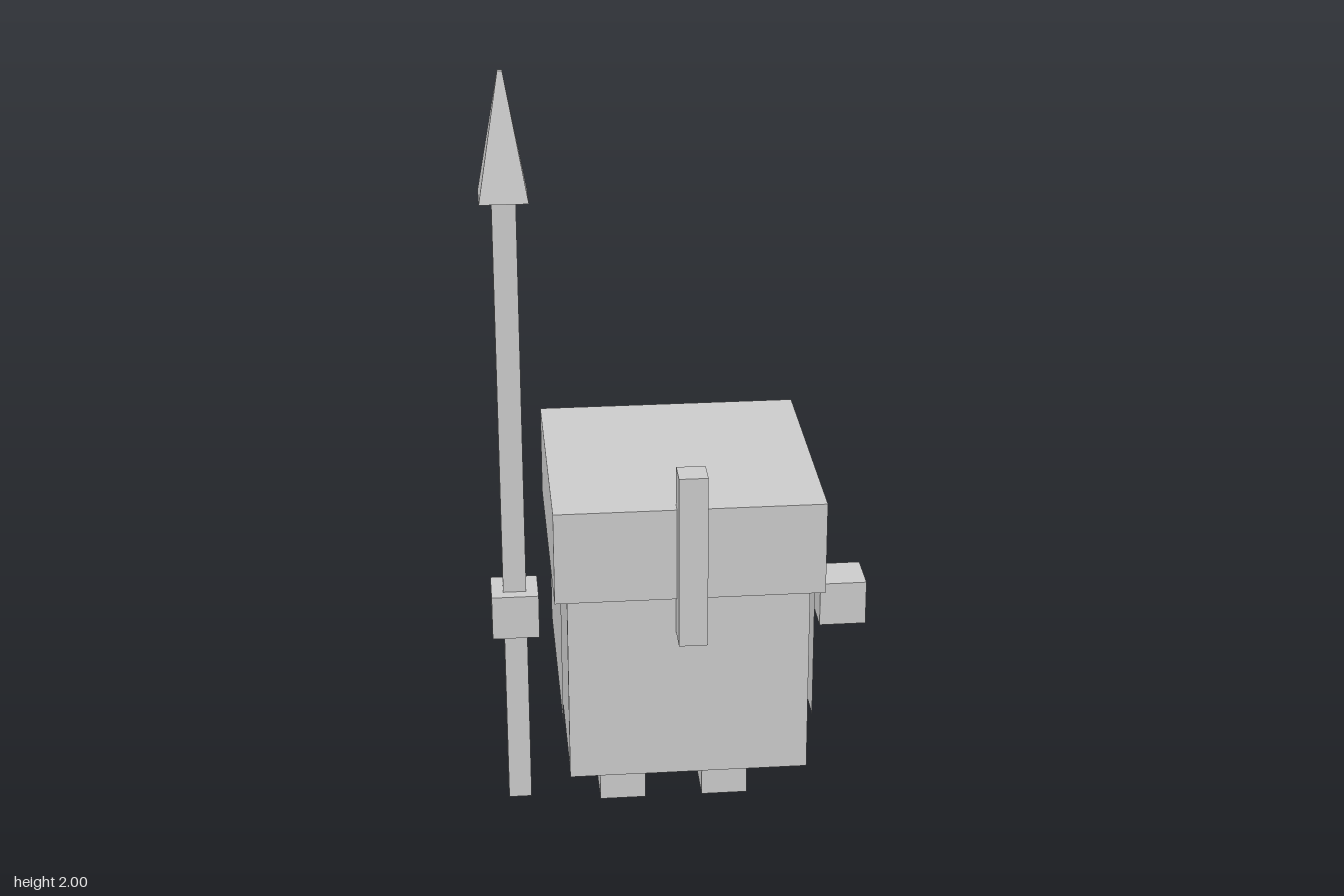
import * as THREE from 'three';

const material = new THREE.MeshStandardMaterial({ color: 0xcccccc, flatShading: true });
const thinMaterial = new THREE.MeshStandardMaterial({ color: 0xcccccc, flatShading: true, side: THREE.DoubleSide });

export function createModel() {
  const model = new THREE.Group();

  function add(name, geometry, x, y, z, mat = material) {
    const mesh = new THREE.Mesh(geometry, mat);
    mesh.name = name;
    mesh.position.set(x, y, z);
    model.add(mesh);
    return mesh;
  }

  // Box given by its centre in x and z, and its bottom and top
  function block(name, x, z, width, depth, bottom, top) {
    return add(name, new THREE.BoxGeometry(width, top - bottom, depth), x, (bottom + top) / 2, z);
  }

  // Torso and the overhanging head slab
  block('body', -0.003, -0.04, 0.61, 0.61, 0.25, 0.743);
  block('head', -0.002, -0.024, 0.676, 0.676, 0.743, 0.986);
  block('nose', 0, 0.326, 0.072, 0.074, 0.636, 1.09);

  // Thin cloth: a long front sheet and a shorter sheet on each side
  add('frontCloth', new THREE.PlaneGeometry(0.61, 0.515), -0.003, 0.4855, 0.28, thinMaterial);
  for (const side of [-1, 1]) {
    const cloth = add(side < 0 ? 'rightCloth' : 'leftCloth', new THREE.PlaneGeometry(0.61, 0.372),
      -0.003 + side * 0.319, 0.557, -0.04, thinMaterial);
    cloth.rotation.y = side * Math.PI / 2;
  }

  // Floating hands and short legs
  for (const side of [-1, 1]) {
    const prefix = side < 0 ? 'right' : 'left';
    block(prefix + 'Hand', side * 0.43, -0.044, 0.122, 0.122, 0.497, 0.617);
    block(prefix + 'Leg', -0.018 + side * 0.137, -0.042, 0.122, 0.122, 0, 0.252);
  }

  // Spear: square shaft and four-sided, slightly blunt point
  block('spearShaft', -0.43, -0.044, 0.06, 0.06, 0, 1.685);
  const point = new THREE.CylinderGeometry(0.006 * Math.SQRT2, 0.061 * Math.SQRT2, 0.318, 4);
  point.rotateY(Math.PI / 4);
  add('spearPoint', point, -0.43, 1.841, -0.044);

  return model;
}
